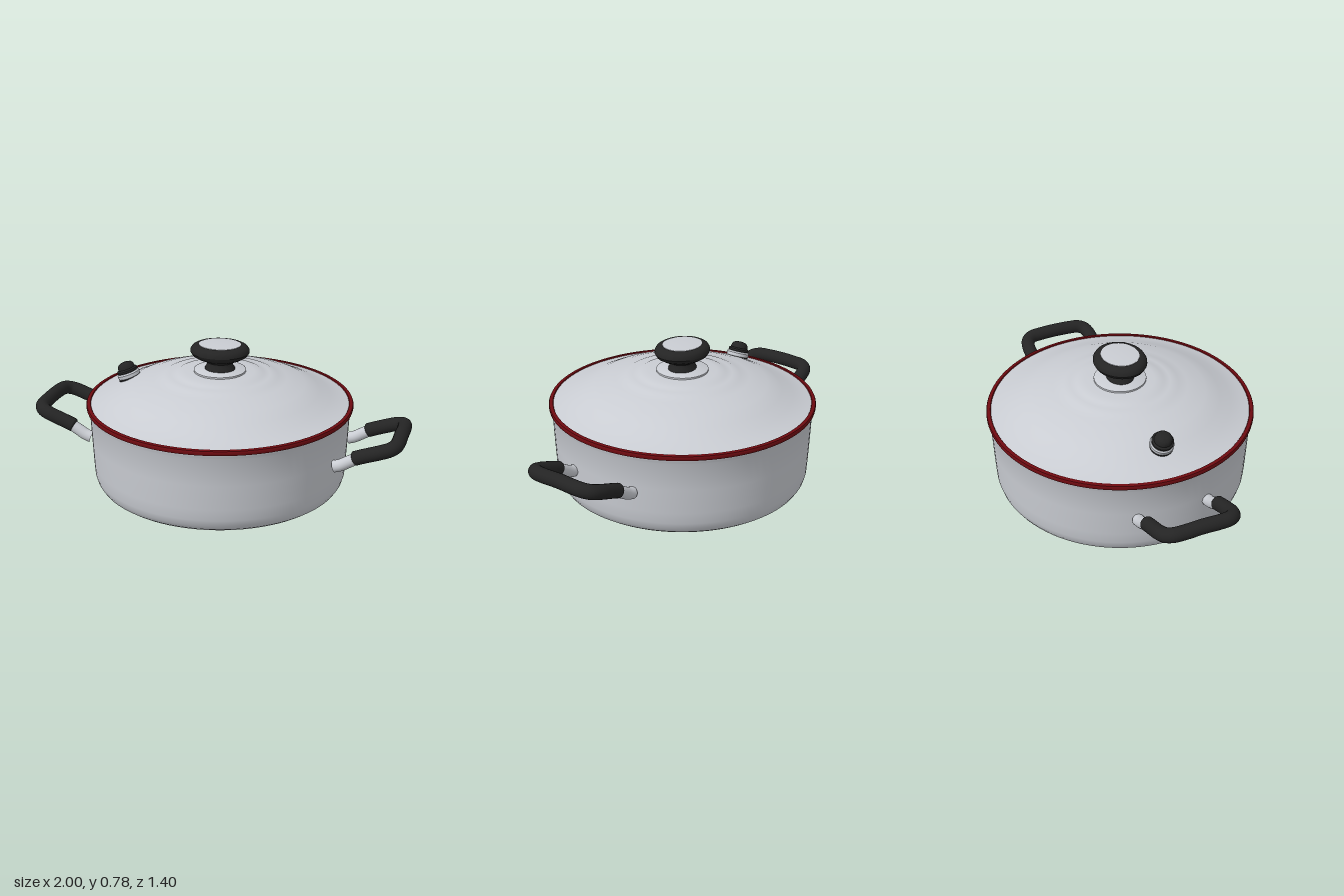
import * as THREE from 'three';
import { toCreasedNormals } from 'three/addons/utils/BufferGeometryUtils.js';

const paint = (name, color) => {
  const m = new THREE.MeshStandardMaterial({ color });
  m.name = name;
  return m;
};

export function createModel() {
  const steel = paint('steel', 0xc9ccd2);
  const black = paint('black plastic', 0x242424);
  const red = paint('red seal', 0x6e0a10);
  const pot = new THREE.Group();
  pot.name = 'cookingPot';

  const add = (name, geometry, material, parent = pot) => {
    const mesh = new THREE.Mesh(geometry, material);
    mesh.name = name;
    parent.add(mesh);
    return mesh;
  };
  // Turned part from [radius, height] pairs, listed upwards along the outside
  const turned = (name, points, material, parent = pot, sides = 96) => {
    const g = new THREE.LatheGeometry(points.map(([r, y]) => new THREE.Vector2(r, y)), sides);
    return add(name, toCreasedNormals(g, 0.6), material, parent);
  };

  // Body with rounded base edge and a small lip
  turned('body', [
    [0, 0], [0.52, 0], [0.58, 0.009], [0.62, 0.017], [0.642, 0.033], [0.658, 0.058],
    [0.667, 0.09], [0.671, 0.15], [0.677, 0.28], [0.683, 0.425], [0.688, 0.437], [0.69, 0.448],
  ], steel);

  // Red seal round the lid
  turned('lidSeal', [
    [0.672, 0.448], [0.69, 0.448], [0.698, 0.451], [0.7, 0.459], [0.7, 0.466],
    [0.697, 0.473], [0.69, 0.476], [0.679, 0.475], [0.675, 0.468],
  ], red);

  // Stepped, domed lid
  turned('lid', [
    [0.682, 0.468], [0.67, 0.472], [0.645, 0.478], [0.58, 0.504], [0.52, 0.533], [0.465, 0.559],
    [0.445, 0.565], [0.4, 0.581], [0.35, 0.593], [0.305, 0.603], [0.292, 0.609],
    [0.26, 0.614], [0.232, 0.617], [0.222, 0.622], [0.18, 0.627], [0.12, 0.63], [0, 0.632],
  ], steel);

  // Knob: round plate, oval grip and a raised metal cap
  turned('knobPlate', [[0.13, 0.625], [0.136, 0.629], [0.136, 0.638], [0.131, 0.641], [0, 0.641]], steel);
  const knob = new THREE.Group();
  knob.name = 'knob';
  knob.scale.z = 0.88;
  pot.add(knob);
  turned('knobGrip', [
    [0.08, 0.638], [0.078, 0.65], [0.068, 0.665], [0.067, 0.678], [0.085, 0.69], [0.12, 0.703],
    [0.145, 0.718], [0.155, 0.735], [0.154, 0.748], [0.145, 0.762], [0.13, 0.77], [0.112, 0.773], [0, 0.773],
  ], black, knob, 64);
  turned('knobCap', [[0.111, 0.77], [0.11, 0.775], [0.08, 0.777], [0, 0.779]], steel, knob, 64);

  // Steam valve standing square to the sloping lid
  const valve = new THREE.Group();
  valve.name = 'steamValve';
  valve.position.set(-0.5, 0.53, 0);
  valve.rotation.z = 0.36;
  pot.add(valve);
  turned('valveBase', [[0.055, -0.02], [0.06, 0], [0.06, 0.012], [0.052, 0.018], [0, 0.018]], black, valve, 40);
  turned('valveRing', [[0.05, 0.014], [0.06, 0.017], [0.061, 0.035], [0.055, 0.043], [0, 0.043]], steel, valve, 40);
  turned('valveCap', [
    [0.052, 0.041], [0.056, 0.046], [0.056, 0.056], [0.046, 0.063], [0.043, 0.08], [0.034, 0.09], [0.02, 0.095], [0, 0.097],
  ], black, valve, 40);

  // Loop handles: steel stubs and a bent black grip, repeated by a half turn
  const V = (x, y, z) => new THREE.Vector3(x, y, z);
  const half = [
    [0.762, 0.307, 0.191], [0.8, 0.322, 0.191], [0.85, 0.34, 0.191], [0.895, 0.356, 0.189],
    [0.935, 0.369, 0.176], [0.957, 0.377, 0.145], [0.963, 0.38, 0.09],
  ];
  const gripPath = new THREE.CatmullRomCurve3([
    ...half.map(([x, y, z]) => V(x, y, z)),
    V(0.963, 0.383, 0),
    ...half.slice().reverse().map(([x, y, z]) => V(x, y, -z)),
  ]);
  for (const side of [1, -1]) {
    const handle = new THREE.Group();
    handle.name = side > 0 ? 'leftHandle' : 'rightHandle';
    if (side < 0) handle.rotation.y = Math.PI;
    pot.add(handle);
    add('grip', new THREE.TubeGeometry(gripPath, 80, 0.037, 20), black, handle);
    for (const z of [0.191, -0.191]) {
      const stubPath = new THREE.CatmullRomCurve3([
        V(0.655, 0.249, z), V(0.69, 0.261, z), V(0.735, 0.287, z), V(0.785, 0.316, z),
      ]);
      add('stub', new THREE.TubeGeometry(stubPath, 16, 0.031, 20), steel, handle);
      // Rounded end closing the grip around the stub
      const end = add('gripEnd', new THREE.SphereGeometry(0.037, 20, 12), black, handle);
      end.position.set(0.764, 0.308, z);
      end.scale.x = 0.5;
      end.rotation.z = 0.4;
    }
  }
  return pot;
}
